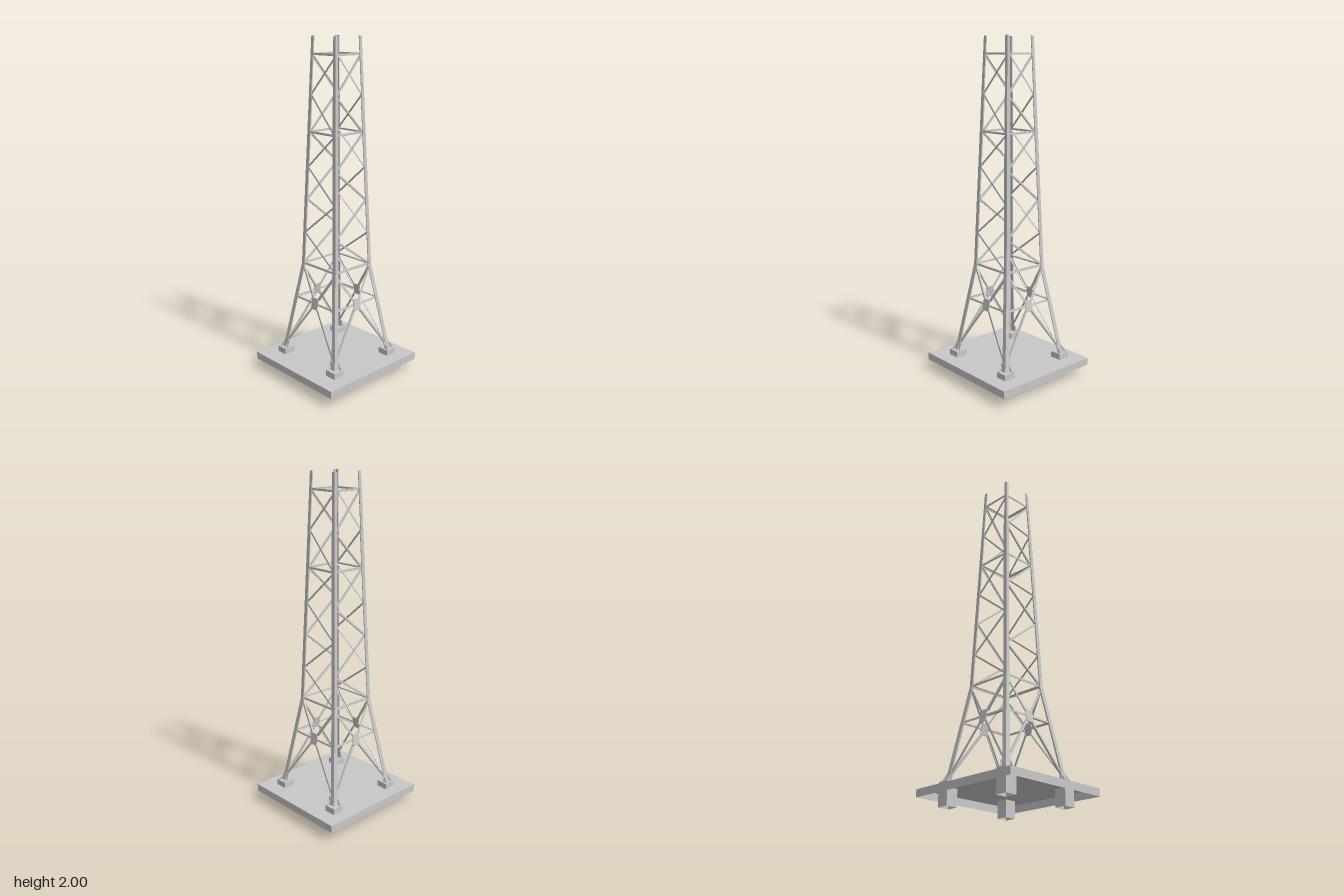
import * as THREE from 'three';

const steel = new THREE.MeshStandardMaterial({ color: 0xc8c8c8, side: THREE.DoubleSide });
steel.name = 'grey steel';

const BASE = 0.13, WAIST = 0.68, TOP = 2;
const BASE_REACH = 0.231, WAIST_REACH = 0.146, TOP_REACH = 0.098;

// Distance from the tower axis to the outer face at a height
function reach(y) {
  return y < WAIST
    ? THREE.MathUtils.mapLinear(y, BASE, WAIST, BASE_REACH, WAIST_REACH)
    : THREE.MathUtils.mapLinear(y, WAIST, TOP, WAIST_REACH, TOP_REACH);
}

function mesh(name, geometry, parent) {
  const m = new THREE.Mesh(geometry, steel);
  m.name = name;
  parent.add(m);
  return m;
}

// Angle-iron section: two flanges of width s, thickness t, heel at (x0, 0)
function angleShape(s, t, x0 = 0) {
  return new THREE.Shape([[0, 0], [s, 0], [s, t], [t, t], [t, s], [0, s]]
    .map(([x, y]) => new THREE.Vector2(x + x0, y)));
}

// Sweep a section from a to b along the given section axes
function sweep(shape, a, b, xAxis, yAxis) {
  const g = new THREE.ExtrudeGeometry(shape, { depth: 1, bevelEnabled: false });
  const m = new THREE.Matrix4().makeBasis(xAxis, yAxis, b.clone().sub(a)).setPosition(a);
  return g.applyMatrix4(m);
}

// Box without its underside
function openBox(w, h, d) {
  const g = new THREE.BoxGeometry(w, h, d);
  const index = Array.from(g.index.array);
  index.splice(18, 6);
  g.setIndex(index);
  g.clearGroups();
  return g;
}

// Corner angle piece between two heights, on the +x +z corner
function cornerAngle(parent, name, y0, y1, s, out = 0) {
  const p = y => new THREE.Vector3(reach(y) + out, y, reach(y) + out);
  mesh(name, sweep(angleShape(s, 0.005), p(y0), p(y1),
    new THREE.Vector3(0, 0, -1), new THREE.Vector3(-1, 0, 0)), parent);
}

// Brace lying in the +z face between two (x, y) points
function brace(parent, name, x0, y0, x1, y1, s) {
  const low = (y0 + y1) / 2 < WAIST - 0.001;
  const slope = low ? (WAIST_REACH - BASE_REACH) / (WAIST - BASE)
    : (TOP_REACH - WAIST_REACH) / (TOP - WAIST);
  const inward = new THREE.Vector3(0, slope, -1).normalize();
  const p = (x, y) => new THREE.Vector3(x, y, reach(y) - 0.005);
  const a = p(x0, y0), b = p(x1, y1);
  const across = inward.clone().cross(b.clone().sub(a).normalize());
  mesh(name, sweep(angleShape(s, 0.003, -s / 2), a, b, across, inward), parent);
}

// Triangular stiffener standing on the footing
function gusset(parent, x, z, length, angle) {
  const shape = new THREE.Shape([[0, 0], [length, 0], [length, 0.006], [0, 0.045]]
    .map(([u, v]) => new THREE.Vector2(u, v)));
  const g = new THREE.ExtrudeGeometry(shape, { depth: 0.002, bevelEnabled: false });
  g.translate(0, 0, -0.001);
  const m = mesh('gusset', g, parent);
  m.position.set(x, 0.133, z);
  m.rotation.y = angle;
}

function buildSide() {
  const side = new THREE.Group();
  side.name = 'towerSide';
  const inner = y => reach(y) - 0.012;

  // Footing, shoe and stiffeners
  mesh('footing', openBox(0.071, 0.135, 0.071), side).position.set(0.219, 0.0675, 0.219);
  cornerAngle(side, 'legShoe', 0.133, 0.18, 0.04, 0.002);
  gusset(side, 0.224, 0.197, 0.024, 0);
  gusset(side, 0.197, 0.224, 0.024, -Math.PI / 2);
  gusset(side, 0.225, 0.225, 0.028, -Math.PI / 4);

  // Leg in three stepped lengths
  cornerAngle(side, 'leg', 0.133, WAIST, 0.026);
  cornerAngle(side, 'leg', WAIST, 1.68, 0.023);
  cornerAngle(side, 'leg', 1.68, TOP, 0.019);

  // Horizontal struts
  for (const y of [WAIST, 1.468, 1.902]) {
    brace(side, 'strut', -inner(y), y, inner(y), y, 0.012);
  }

  // Single zigzag of braces up the face
  const levels = [0.685, 0.873, 1.072, 1.265, 1.465, 1.68, 1.89];
  for (let i = 0; i < levels.length - 1; i++) {
    const a = levels[i], b = levels[i + 1], s = i % 2 ? -1 : 1;
    brace(side, 'zigzagBrace', s * inner(a), a, -s * inner(b), b, 0.01);
  }

  // Lower panel: braces meeting at a centre plate
  const mid = 0.466;
  for (const s of [-1, 1]) {
    brace(side, 'lowerStrut', s * inner(mid), mid, s * 0.022, mid, 0.011);
    brace(side, 'lowerBrace', s * inner(0.165), 0.165, s * 0.02, mid - 0.028, 0.012);
    brace(side, 'upperBrace', s * inner(0.665), 0.665, s * 0.02, mid + 0.028, 0.012);
  }
  const plate = mesh('centrePlate', new THREE.BoxGeometry(0.053, 0.07, 0.004), side);
  plate.position.set(0, mid, reach(mid) - 0.004);
  plate.rotation.x = Math.atan((WAIST_REACH - BASE_REACH) / (WAIST - BASE));
  return side;
}

export function createModel() {
  const model = new THREE.Group();
  model.name = 'latticeTower';

  // Ground slab, hollow underneath
  mesh('slab', openBox(0.673, 0.044, 0.705), model).position.y = 0.077;

  // Four identical sides, each with one corner leg
  const tower = new THREE.Group();
  tower.name = 'tower';
  tower.position.set(-0.004, 0, -0.008);
  for (let i = 0; i < 4; i++) {
    const side = buildSide();
    side.rotation.y = i * Math.PI / 2;
    tower.add(side);
  }
  model.add(tower);
  return model;
}
